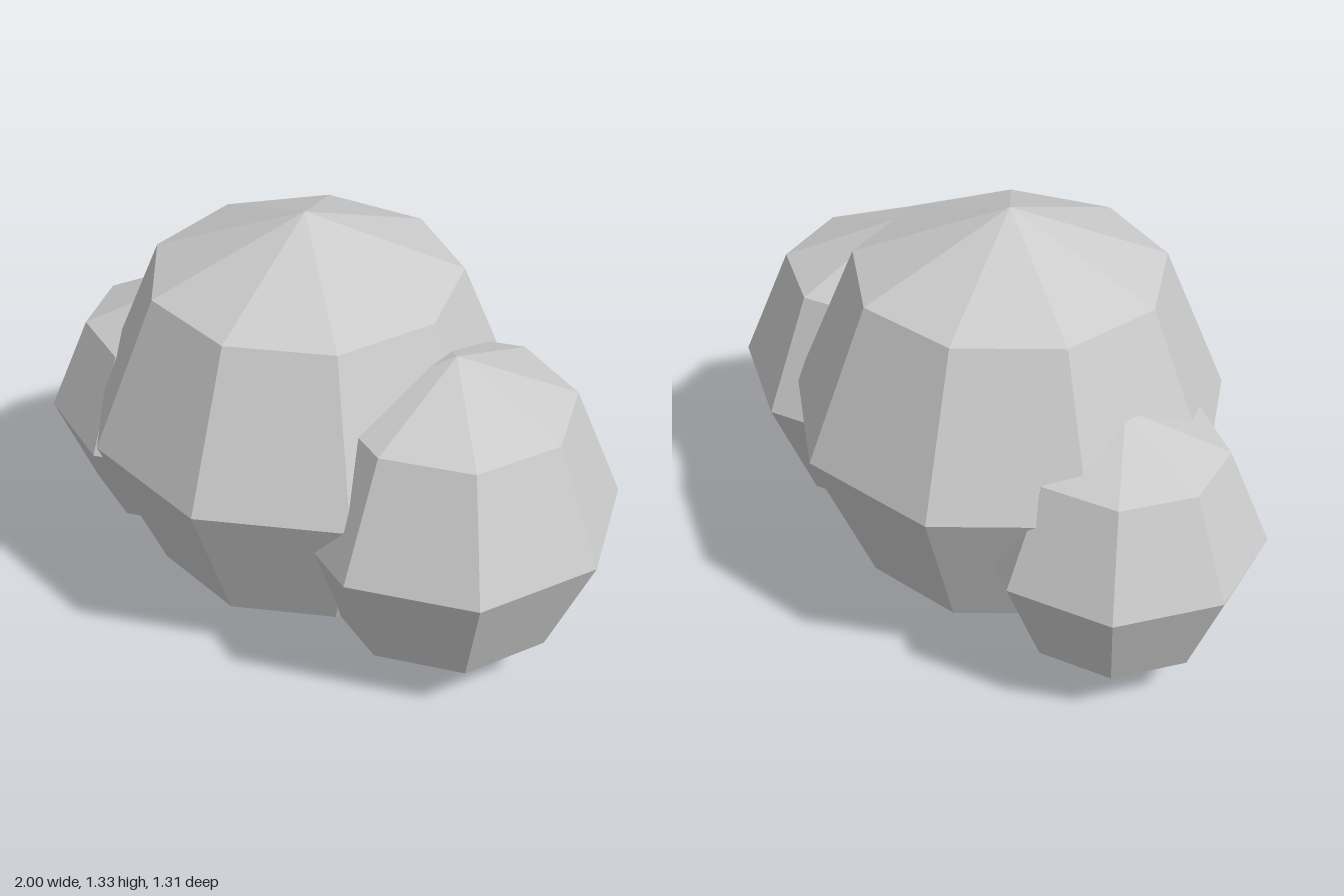
import * as THREE from 'three';

export function createModel() {
  const group = new THREE.Group();
  const material = new THREE.MeshStandardMaterial({ color: 0xcccccc, flatShading: true });

  // Each lobe is a faceted ball with four bands, one corner pointing to +x
  const addLobe = (name, x, y, radius, sides) => {
    const geometry = new THREE.SphereGeometry(radius, sides, 4, Math.PI);
    const lobe = new THREE.Mesh(geometry, material);
    lobe.name = name;
    lobe.position.set(x, y, 0);
    group.add(lobe);
  };

  addLobe('mainLobe', -0.06, 0.667, 0.666, 9);
  addLobe('leftLobe', 0.49, 0.55, 0.51, 8);
  addLobe('rightLobe', -0.57, 0.474, 0.43, 8);

  group.name = 'bush';
  return group;
}
